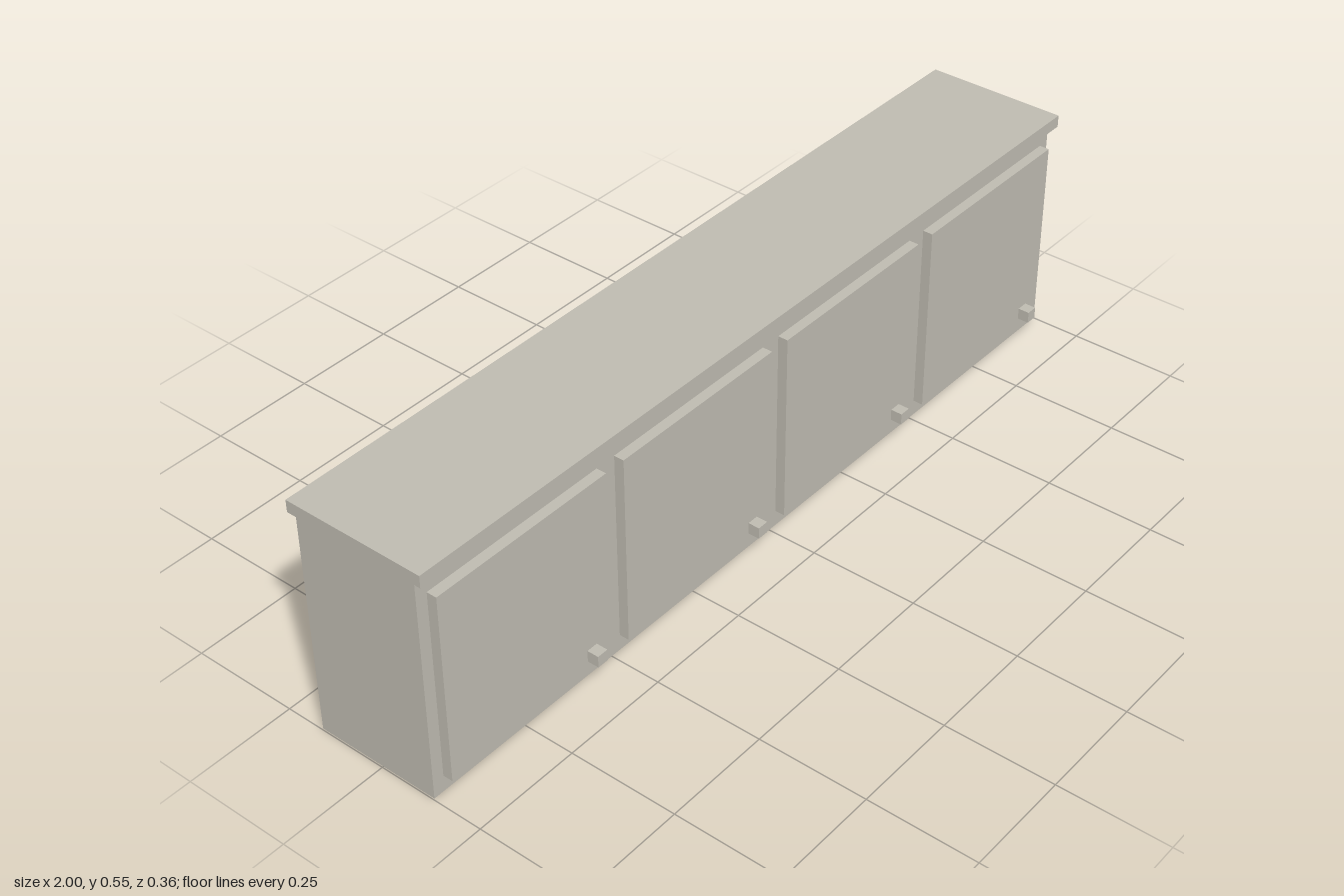
import * as THREE from 'three';

export function createModel() {
  const group = new THREE.Group();
  const paint = new THREE.MeshStandardMaterial({ color: 0xbfbbb1 });
  paint.name = 'warm grey';

  // Box given by its minimum and maximum on each axis
  function addBox(name, [x0, x1], [y0, y1], [z0, z1]) {
    const mesh = new THREE.Mesh(new THREE.BoxGeometry(x1 - x0, y1 - y0, z1 - z0), paint);
    mesh.position.set((x0 + x1) / 2, (y0 + y1) / 2, (z0 + z1) / 2);
    mesh.name = name;
    group.add(mesh);
  }

  // Cabinet body and overhanging top
  addBox('cabinetBody', [-0.997, 0.989], [0, 0.52], [-0.161, 0.132]);
  addBox('countertop', [-1, 1], [0.52, 0.548], [-0.18, 0.15]);

  // Four doors, each with a square knob in its lower corner
  for (let i = 0; i < 4; i++) {
    const x = -0.747 + i * 0.4953;
    addBox(`door${i + 1}`, [x - 0.223, x + 0.223], [0.038, 0.482], [0.132, 0.155]);
    addBox(`knob${i + 1}`, [x + 0.153, x + 0.18], [0.066, 0.093], [0.155, 0.182]);
  }
  return group;
}
